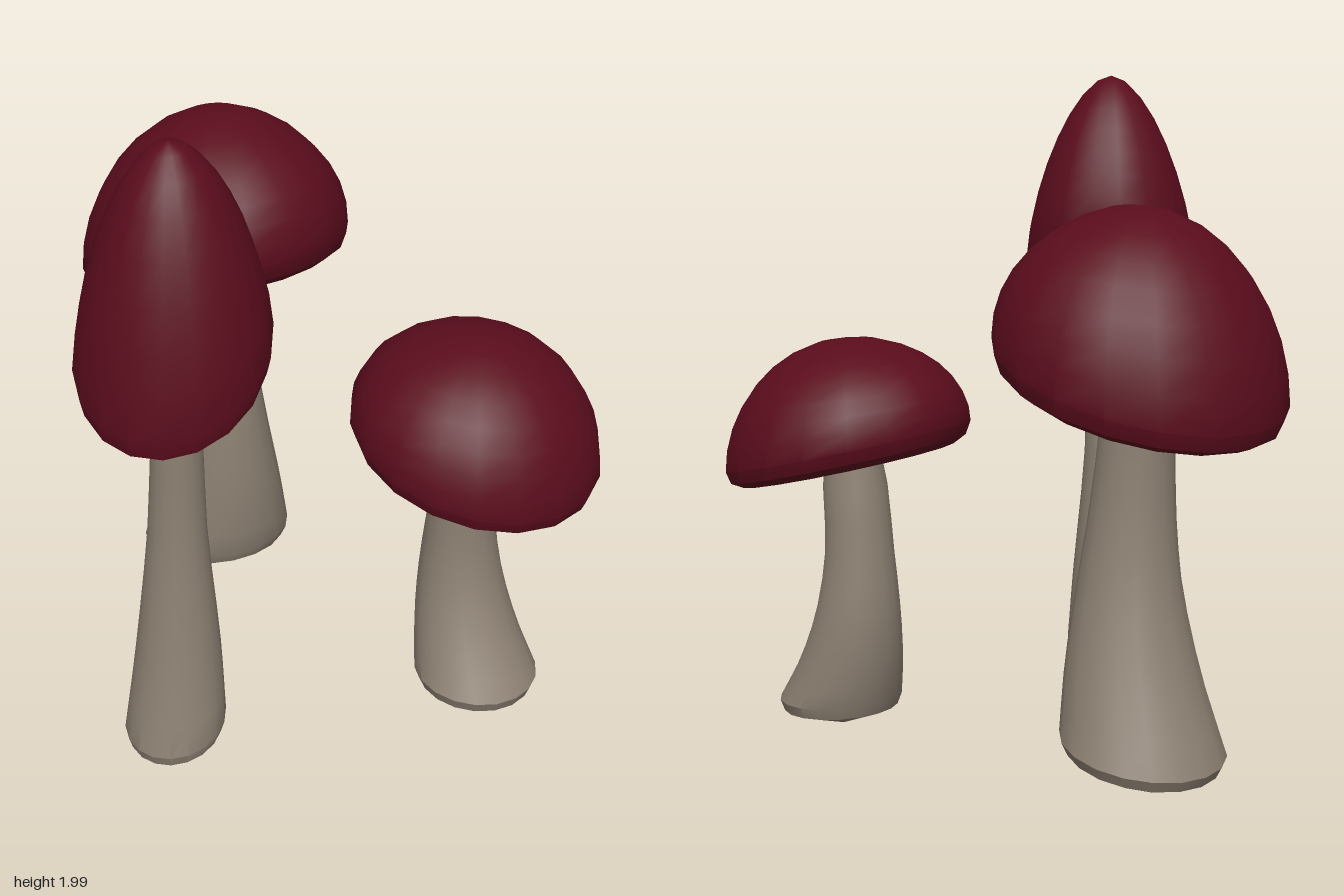
import * as THREE from 'three';
import { toCreasedNormals } from 'three/addons/utils/BufferGeometryUtils.js';

const SIDES = 18;
const capMaterial = new THREE.MeshStandardMaterial({ color: 0x5a0c1c });
const stemMaterial = new THREE.MeshStandardMaterial({ color: 0x8c8072 });

// Skin a list of rings { x, y, z, r, sx, sz }; sx and sz are the slopes of the ring plane.
function loft(rings) {
  const positions = [];
  const point = (ring, j) => {
    const a = (j / SIDES) * Math.PI * 2;
    const dx = Math.cos(a) * ring.r, dz = Math.sin(a) * ring.r;
    return [ring.x + dx, ring.y + dx * ring.sx + dz * ring.sz, ring.z + dz];
  };
  for (let i = 0; i < rings.length - 1; i++) {
    const lo = rings[i], hi = rings[i + 1];
    for (let j = 0; j < SIDES; j++) {
      const a = point(lo, j), b = point(lo, j + 1), c = point(hi, j + 1), d = point(hi, j);
      if (lo.r > 0) positions.push(...a, ...d, ...b);
      if (hi.r > 0) positions.push(...d, ...c, ...b);
    }
  }
  const geometry = new THREE.BufferGeometry();
  geometry.setAttribute('position', new THREE.Float32BufferAttribute(positions, 3));
  return toCreasedNormals(geometry, 0.5);
}

// Cap: hollow underside, turned lip, then a dome whose slant fades towards the top.
function makeCap({ x, y, z, r, h, drop, power, round, slope }) {
  const profile = [
    [0, 0.05], [0.5, 0.04], [0.74, 0], [0.8, -drop * 0.75], [0.86, -drop], [0.96, -drop * 0.65], [1, 0],
  ];
  for (const t of [0.17, 0.34, 0.5, 0.65, 0.78, 0.89, 0.97, 1]) {
    profile.push([Math.pow(1 - Math.pow(t, power), round), t * h]);
  }
  return new THREE.Mesh(loft(profile.map(([pr, py]) => {
    const fade = 1 - 0.7 * Math.max(0, py / h);
    return { x, y: y + py, z, r: r * pr, sx: slope[0] * fade, sz: slope[1] * fade };
  })), capMaterial);
}

// Stem: pointed foot, rounded heel, then a smooth sweep through [x, y, z, radius] stations.
function makeStem({ tip, path, slope }) {
  const centre = new THREE.CatmullRomCurve3(path.map(([x, y, z]) => new THREE.Vector3(x, y, z)));
  const radius = new THREE.CatmullRomCurve3(path.map(([, , , r]) => new THREE.Vector3(r, 0, 0)));
  const [x0, y0, z0, r0] = path[0];
  const rings = [
    { x: tip[0], y: tip[1], z: tip[2], r: 0, sx: 0, sz: 0 },
    { x: x0, y: y0 - 0.035, z: z0, r: r0 * 0.93, sx: slope[0], sz: slope[1] },
  ];
  const steps = 12;
  for (let i = 0; i <= steps; i++) {
    const t = i / steps, p = centre.getPoint(t), fade = Math.max(0, 1 - 2.5 * t);
    rings.push({ x: p.x, y: p.y, z: p.z, r: radius.getPoint(t).x, sx: slope[0] * fade, sz: slope[1] * fade });
  }
  const top = rings[rings.length - 1];
  rings.push({ ...top, r: 0 });
  return new THREE.Mesh(loft(rings), stemMaterial);
}

const mushrooms = [
  {
    name: 'broadMushroom',
    cap: { x: -0.46, y: 1.22, z: -0.14, r: 0.415, h: 0.46, drop: 0.075, power: 2, round: 0.55, slope: [0.29, 0] },
    stem: {
      tip: [-0.52, 0.01, -0.15], slope: [0.17, 0],
      path: [[-0.49, 0.15, -0.15, 0.24], [-0.435, 0.36, -0.135, 0.195], [-0.405, 0.6, -0.12, 0.15],
        [-0.405, 0.8, -0.11, 0.125], [-0.415, 1.0, -0.105, 0.11], [-0.435, 1.29, -0.1, 0.1]],
    },
  },
  {
    name: 'tallMushroom',
    cap: { x: 0.27, y: 1.4, z: 0.5, r: 0.272, h: 0.6, drop: 0.075, power: 1.45, round: 0.58, slope: [-0.36, -0.45] },
    stem: {
      tip: [0.285, 0.01, 0.54], slope: [-0.12, -0.25],
      path: [[0.275, 0.15, 0.525, 0.15], [0.26, 0.4, 0.5, 0.125], [0.255, 0.8, 0.49, 0.085],
        [0.265, 1.2, 0.49, 0.07], [0.268, 1.47, 0.49, 0.07]],
    },
  },
  {
    name: 'shortMushroom',
    cap: { x: 0.5, y: 0.91, z: -0.4, r: 0.372, h: 0.33, drop: 0.06, power: 2, round: 0.52, slope: [-0.24, 0.06] },
    stem: {
      tip: [0.55, 0.02, -0.4], slope: [-0.06, 0],
      path: [[0.565, 0.11, -0.395, 0.19], [0.505, 0.24, -0.4, 0.16], [0.462, 0.4, -0.405, 0.13],
        [0.455, 0.6, -0.402, 0.105], [0.478, 0.85, -0.4, 0.097], [0.49, 0.98, -0.4, 0.097]],
    },
  },
];

export function createModel() {
  const model = new THREE.Group();
  model.name = 'mushrooms';
  for (const spec of mushrooms) {
    const group = new THREE.Group();
    group.name = spec.name;
    const cap = makeCap(spec.cap), stem = makeStem(spec.stem);
    cap.name = 'cap';
    stem.name = 'stem';
    group.add(cap, stem);
    model.add(group);
  }
  return model;
}
